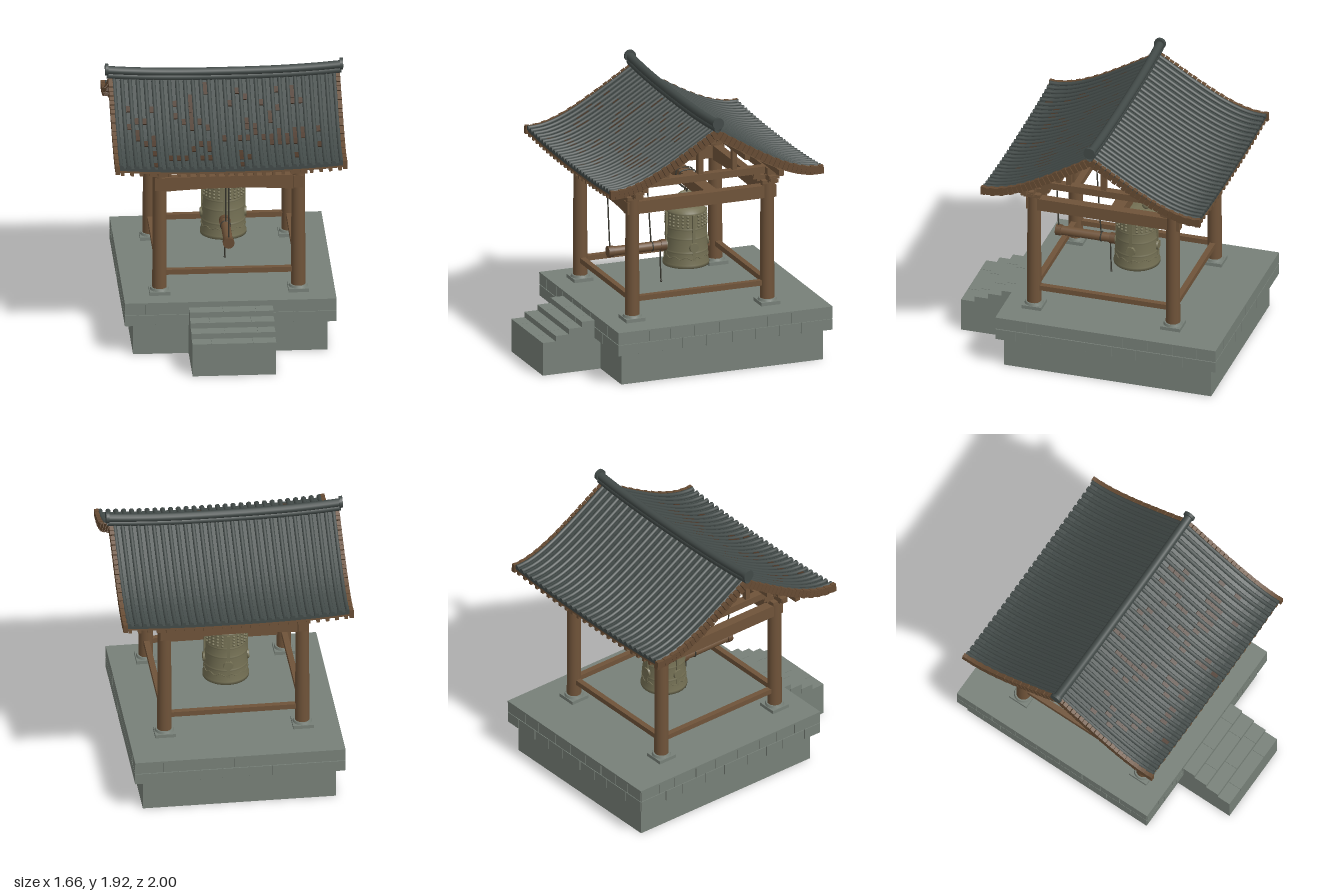
import * as THREE from 'three';
import { mergeGeometries } from 'three/addons/utils/BufferGeometryUtils.js';

const mat = (name, color, side = THREE.FrontSide) => {
  const m = new THREE.MeshStandardMaterial({ color, side });
  m.name = name;
  return m;
};
const ZC = -0.105, ZB = -0.195; // ridge line and bell centre
const COLS = [[0.485, 0.405], [-0.485, 0.405], [0.485, -0.61], [-0.485, -0.61]];

// Roof deck height at distance d from the ridge, its slope, and the lift toward the gables
const roofY = d => 1.78 - 0.62 * d + 0.348 * d ** 4;
const slope = d => -0.62 + 1.392 * d ** 3;
const lift = x => 0.028 * Math.abs(x / 0.8) ** 2.5;

// Box given by its minimum and maximum on each axis
const box = (x0, x1, y0, y1, z0, z1) =>
  new THREE.BoxGeometry(x1 - x0, y1 - y0, z1 - z0).translate((x0 + x1) / 2, (y0 + y1) / 2, (z0 + z1) / 2);
const tube = (pts, r, n = 12, sides = 6) =>
  new THREE.TubeGeometry(new THREE.CatmullRomCurve3(pts.map(p => new THREE.Vector3(...p))), n, r, sides);

// Small box lying on the roof slope; s = 1 front, -1 back
const onRoof = (x, d, s, w, h, len, off) =>
  new THREE.BoxGeometry(w, h, len).rotateX(-Math.atan(s * slope(d)))
    .translate(x, roofY(d) + off + lift(x), ZC + s * d);

// Layer that follows the whole roof curve from eave to eave
function roofLayer(x0, x1, top, bottom, steps) {
  const pts = [], N = 28, D = 0.785;
  for (let i = 0; i <= N; i++) { const u = -D + 2 * D * i / N; pts.push([u, roofY(Math.abs(u))]); }
  const shape = new THREE.Shape([
    ...pts.map(([u, y]) => new THREE.Vector2(u, y + bottom)),
    ...pts.reverse().map(([u, y]) => new THREE.Vector2(u, y + top))]);
  const g = new THREE.ExtrudeGeometry(shape, { depth: x1 - x0, steps, bevelEnabled: false });
  g.rotateY(Math.PI / 2).translate(x0, 0, ZC);
  const p = g.attributes.position;
  for (let i = 0; i < p.count; i++) p.setY(i, p.getY(i) + lift(p.getX(i)));
  g.computeVertexNormals();
  return g;
}

export function createModel() {
  const model = new THREE.Group();
  const stone = mat('stone', 0x778078), wood = mat('wood', 0x6f5339), tile = mat('roof tile', 0x424a48, THREE.DoubleSide);
  const edgeWood = mat('edge tile brown', 0x664b33), rust = mat('weathered tile', 0x4a3627);
  const bronze = mat('bronze', 0x747054, THREE.DoubleSide), rope = mat('rope', 0x3b3a32);
  const add = (name, material, ...geos) => {
    const mesh = new THREE.Mesh(mergeGeometries(geos.map(g => g.index ? g.toNonIndexed() : g)), material);
    mesh.name = name;
    model.add(mesh);
  };
  let seed = 7;
  const rand = () => (seed = (seed * 16807) % 2147483647) / 2147483647;

  // Platform: plain foot, core slab, two courses of blocks around it
  add('platformFoot', stone, box(-0.68, 0.68, 0, 0.24, -0.95, 0.565));
  add('platformSlab', stone, box(-0.732, 0.732, 0.234, 0.392, -0.992, 0.602), box(-0.74, 0.74, 0.388, 0.4, -1, 0.61));
  const blocks = [];
  const course = (y0, y1, shift) => {
    const run = (a, b, n, place) => {
      const cuts = [a];
      for (let i = 1; i < n; i++) cuts.push(a + (b - a) * (i + shift + (rand() - 0.5) * 0.3) / n);
      cuts.push(b);
      for (let i = 0; i < n; i++) place(cuts[i] + 0.003, cuts[i + 1] - 0.003);
    };
    for (const z of [-0.99, 0.60]) run(-0.74, 0.74, 9, (a, b) => blocks.push(box(a, b, y0, y1, z - 0.01, z + 0.01)));
    for (const x of [-0.73, 0.73]) run(-1, 0.61, 9, (a, b) => blocks.push(box(x - 0.01, x + 0.01, y0, y1, a, b)));
  };
  course(0.23, 0.308, 0.2);
  course(0.313, 0.388, -0.2);
  add('platformBlocks', stone, ...blocks);

  // Steps, each tread laid with three paving stones
  const steps = [], pavers = [];
  for (let i = 0; i < 4; i++) {
    const y = 0.24 + i * 0.04, z1 = 1 - i * 0.098, cuts = i % 2 ? [-0.295, -0.06, 0.17, 0.295] : [-0.295, -0.16, 0.13, 0.295];
    steps.push(box(-0.292, 0.292, 0, y - 0.006, 0.565, z1 - 0.001));
    for (let k = 0; k < 3; k++) pavers.push(box(cuts[k] + 0.002, cuts[k + 1] - 0.002, y - 0.036, y, z1 - 0.098, z1));
  }
  add('steps', stone, ...steps);
  add('stepPavers', stone, ...pavers);

  // Columns with stone bases and crossed bracket arms
  const bases = [], columns = [], brackets = [];
  for (const [x, z] of COLS) {
    bases.push(box(x - 0.072, x + 0.072, 0.4, 0.425, z - 0.072, z + 0.072),
      new THREE.CylinderGeometry(0.062, 0.068, 0.016, 20).translate(x, 0.433, z));
    columns.push(new THREE.CylinderGeometry(0.047, 0.051, 0.87, 20).translate(x, 0.865, z));
    brackets.push(box(x - 0.06, x + 0.06, 1.29, 1.315, z - 0.06, z + 0.06));
    for (const [hx, hz] of [[1, 0], [0, 1]]) {
      const arm = (l, w, y0, y1) => brackets.push(box(x - (hx ? l : w), x + (hx ? l : w), y0, y1, z - (hz ? l : w), z + (hz ? l : w)));
      arm(0.085, 0.02, 1.305, 1.325);
      arm(0.115, 0.022, 1.322, 1.348);
      for (const s of [-1, 0, 1]) {
        const cx = x + hx * s * 0.085, cz = z + hz * s * 0.085;
        brackets.push(box(cx - 0.026, cx + 0.026, 1.335, 1.36, cz - 0.026, cz + 0.026));
      }
    }
  }
  add('columnBases', stone, ...bases);
  add('columns', wood, ...columns);
  add('brackets', wood, ...brackets);

  // Rails, arched tie beams, side beams and wall plates
  const rails = [], ties = [], plates = [];
  const arch = new THREE.Shape();
  arch.moveTo(-0.45, 1.165);
  arch.quadraticCurveTo(0, 1.2, 0.45, 1.165);
  arch.lineTo(0.45, 1.27);
  arch.lineTo(-0.45, 1.27);
  for (const z of [0.405, -0.61]) {
    rails.push(box(-0.46, 0.46, 0.535, 0.572, z - 0.02, z + 0.02));
    ties.push(new THREE.ExtrudeGeometry(arch, { depth: 0.06, bevelEnabled: false, curveSegments: 12 }).translate(0, 0, z - 0.03));
    plates.push(box(-0.56, 0.56, 1.36, 1.41, z - 0.028, z + 0.028));
  }
  for (const x of [-0.485, 0.485]) {
    rails.push(box(x - 0.02, x + 0.02, 0.535, 0.572, -0.6, 0.4));
    ties.push(box(x - 0.034, x + 0.034, 1.18, 1.27, -0.665, 0.455));
    plates.push(box(x - 0.028, x + 0.028, 1.36, 1.41, -0.66, 0.45));
  }
  ties.push(box(-0.47, 0.47, 1.19, 1.27, ZB - 0.045, ZB + 0.045));
  plates.push(box(-0.485, 0.485, 1.36, 1.405, 0.08, 0.125));
  add('rails', wood, ...rails);
  add('tieBeams', wood, ...ties);
  add('wallPlates', wood, ...plates);

  // Gable posts and purlins
  const posts = [], purlins = [];
  for (const x of [-0.485, 0.485]) {
    posts.push(box(x - 0.02, x + 0.02, 1.41, 1.72, ZC - 0.02, ZC + 0.02));
    for (const s of [-1, 1]) posts.push(box(x - 0.018, x + 0.018, 1.41, 1.57, ZC + s * 0.255 - 0.018, ZC + s * 0.255 + 0.018));
  }
  for (const [d, y] of [[0, 1.7], [0.255, 1.555], [0.51, 1.41]])
    for (const s of d ? [-1, 1] : [1]) purlins.push(box(-0.74, 0.74, y, y + 0.04, ZC + s * d - 0.02, ZC + s * d + 0.02));
  add('gablePosts', wood, ...posts);
  add('purlins', wood, ...purlins);

  // Roof: tile bed, boards, rafters
  add('tileBed', tile, roofLayer(-0.78, 0.78, 0, -0.02, 20));
  add('roofBoards', wood, roofLayer(-0.78, 0.78, -0.02, -0.034, 20));
  const rafters = [];
  for (let i = 0; i < 24; i++) { const x = -0.76 + i * 1.52 / 23; rafters.push(roofLayer(x - 0.012, x + 0.012, -0.034, -0.056, 1)); }
  add('rafters', wood, ...rafters);

  // Round rib tiles, their eave ends, weathered pan tiles and the gable edge tiles
  const ribs = [], patches = [], edges = [], N = 28, gap = 1.54 / N;
  for (const s of [-1, 1]) {
    for (let i = 0; i <= N; i++) {
      const x = -0.77 + i * gap, pts = [];
      for (let k = 0; k <= 10; k++) { const d = 0.012 + k * 0.0775; pts.push([x, roofY(d) + 0.006 + lift(x), ZC + s * d]); }
      ribs.push(tube(pts, 0.015, 18, 8));
      ribs.push(new THREE.CylinderGeometry(0.018, 0.018, 0.012, 10).rotateX(Math.PI / 2).translate(x, roofY(0.785) + 0.005 + lift(x), ZC + s * 0.785));
      if (s < 0 || i === N) continue;
      for (let j = 1; j < 17; j++)
        if (rand() < (Math.abs(x) < 0.6 ? 0.19 : 0.1)) patches.push(onRoof(x + gap / 2, j * 0.045, s, 0.036, 0.008, 0.05, 0.005));
    }
    for (const x of [-0.795, 0.795])
      for (let j = 0; j < 24; j++)
        edges.push(onRoof(x, 0.016 + j * 0.0334, s, 0.03, j % 2 ? 0.06 : 0.052, 0.033, -0.014));
  }
  add('ribTiles', tile, ...ribs);
  add('weatheredTiles', rust, ...patches);
  add('gableEdgeTiles', edgeWood, ...edges);

  // Ridge roll with round end caps
  const ridge = [], bed = [];
  for (let i = 0; i <= 12; i++) { const x = -0.82 + i * 0.82 / 6; ridge.push([x, 1.842 + lift(x), ZC]); bed.push([x, 1.806 + lift(x), ZC]); }
  add('ridge', tile, tube(ridge, 0.03, 30, 12), tube(bed, 0.027, 30, 8),
    ...[-1, 1].map(s => new THREE.CylinderGeometry(0.042, 0.042, 0.022, 20).rotateZ(Math.PI / 2).translate(s * 0.82, 1.876, ZC)));

  // Bell body, raised bands, studs and crown loop
  const profile = [[0.135, 0.6], [0.163, 0.6], [0.163, 0.622], [0.157, 0.63], [0.152, 0.7], [0.155, 0.705], [0.155, 0.715], [0.15, 0.72],
    [0.147, 0.8], [0.15, 0.805], [0.15, 0.815], [0.146, 0.82], [0.142, 0.87], [0.145, 0.874], [0.145, 0.882], [0.141, 0.888],
    [0.137, 0.98], [0.14, 0.985], [0.139, 0.995], [0.126, 1.015], [0.09, 1.029], [0, 1.035]];
  const lathe = new THREE.LatheGeometry(profile.map(p => new THREE.Vector2(...p)), 40).translate(0, 0, ZB);
  add('bell', bronze, lathe, new THREE.CylinderGeometry(0.13, 0.135, 0.36, 24, 1, true).translate(0, 0.78, ZB));
  const relief = [];
  for (let q = 0; q < 4; q++) {
    const turn = q * Math.PI / 2;
    relief.push(box(-0.01, 0.01, 0.64, 0.985, 0.139, 0.155).rotateY(turn).translate(0, 0, ZB));
    relief.push(new THREE.CylinderGeometry(0.033, 0.036, 0.014, 16).rotateX(Math.PI / 2).translate(0, 0.75, 0.155).rotateY(turn).translate(0, 0, ZB));
    for (let r = 0; r < 4; r++) for (let c = 0; c < 5; c++)
      relief.push(new THREE.SphereGeometry(0.01, 8, 6).translate(0, 0.9 + r * 0.024, 0.143 - r * 0.001)
        .rotateY(turn + Math.PI / 4 + (c - 2) * 0.25).translate(0, 0, ZB));
  }
  const wave = [];
  for (let i = 0; i <= 72; i++) { const a = i / 72 * Math.PI * 2; wave.push([0.154 * Math.sin(a), 0.672 + 0.008 * Math.sin(a * 12), ZB + 0.154 * Math.cos(a)]); }
  add('bellRelief', bronze, ...relief, tube(wave, 0.004, 144, 4));
  add('bellLoop', bronze, new THREE.TorusGeometry(0.07, 0.021, 10, 20, Math.PI).rotateY(Math.PI / 2).translate(0, 1.04, ZB),
    ...[-1, 1].map(s => new THREE.SphereGeometry(0.028, 12, 8).translate(0, 1.05, ZB + s * 0.066)));

  // Hanging straps around the centre beam
  add('bellHangers', rope, ...[-1, 1].map(s => tube([[0, 1.1, ZB], [s * 0.02, 1.14, ZB], [s * 0.03, 1.18, ZB + 0.05],
    [s * 0.03, 1.275, ZB + 0.055], [s * 0.03, 1.275, ZB - 0.055], [s * 0.03, 1.18, ZB - 0.05], [s * 0.02, 1.14, ZB], [0, 1.1, ZB]], 0.005, 40)));

  // Striking log with banded end, its ropes and the pull cord
  add('strikingLog', wood, new THREE.CylinderGeometry(0.033, 0.033, 0.43, 18).rotateX(Math.PI / 2).translate(0, 0.747, 0.175));
  add('logBands', edgeWood, ...[0.375, -0.02].map(z => new THREE.CylinderGeometry(0.04, 0.04, 0.04, 18).rotateX(Math.PI / 2).translate(0, 0.747, z)));
  add('logRopes', rope, tube([[0, 1.37, 0.105], [0, 1.03, 0.085], [0, 0.71, 0.063]], 0.005),
    tube([[0, 1.37, 0.4], [0, 1.05, 0.39], [0, 0.71, 0.375]], 0.005),
    tube([[0, 0.72, 0], [0, 0.6, -0.003], [0, 0.48, -0.008]], 0.005),
    new THREE.SphereGeometry(0.009, 8, 6).translate(0, 0.485, -0.008),
    ...[0.063].map(z => new THREE.TorusGeometry(0.034, 0.005, 6, 18).translate(0, 0.747, z)));
  return model;
}
